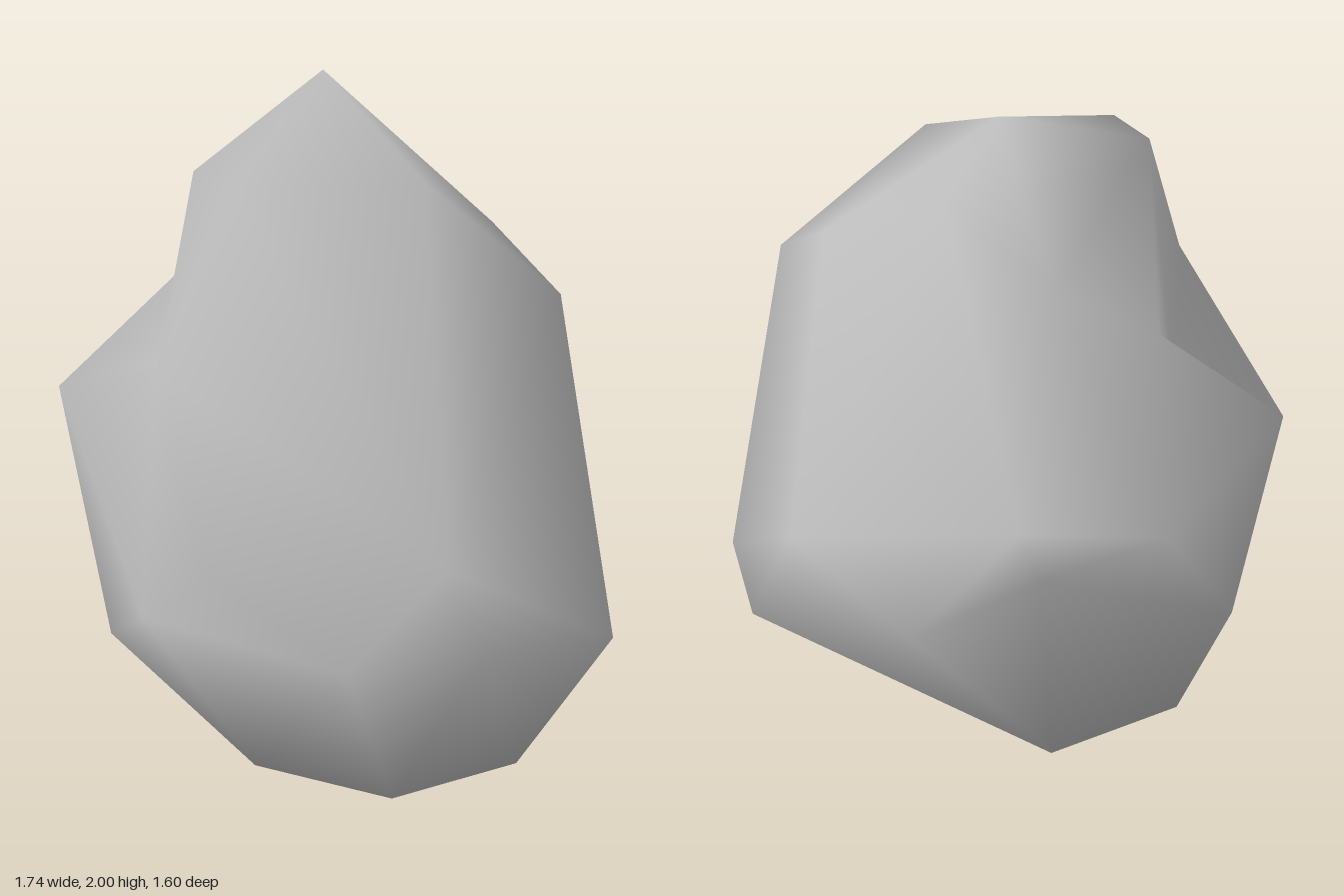
import * as THREE from 'three';
import { ConvexGeometry } from 'three/addons/geometries/ConvexGeometry.js';
import { mergeVertices } from 'three/addons/utils/BufferGeometryUtils.js';

// Corner points of the boulder, from the base upwards
const base = [
  [-0.73, 0, 0.25], [-0.67, 0.01, -0.2], [0.3, 0.03, -0.6], [0.73, 0.07, 0],
  [0.6, 0.07, 0.395], [0.2, 0.07, 0.565], [0, 0.03, 0],
];
const belly = [
  [-0.75, 0.36, 0.42], [-0.22, 0.42, 0.76], [0, 0.57, 0.8], [0.87, 0.45, -0.25],
  [0.2, 0.2, -0.79], [0.46, 0.28, -0.73], [-0.21, 0.88, -0.8], [-0.58, 0.7, -0.63],
  [0.745, 0.82, 0.335], [-0.87, 0.98, 0.02],
];
// Hollows: beside the front ridge, under the right shoulder, in the left flank
const hollows = [
  [0.07, 0.66, 0.615], [0.47, 0.44, 0.45], [0.67, 0.445, 0.1], [-0.63, 0.75, -0.23],
];
// Front-left shelf, the groove behind it and the slope above
const shelf = [
  [-0.69, 1.04, 0.58], [-0.06, 1.26, 0.67], [-0.46, 1.12, 0.345], [-0.52, 1.375, 0.225],
];
const crown = [
  [-0.68, 1.03, -0.34], [0.46, 1.37, -0.45], [0.2, 1.55, -0.43], [-0.47, 1.61, -0.1],
  [-0.18, 1.77, 0.42], [0, 1.76, 0.43], [0.28, 1.74, -0.04], [-0.25, 1.83, -0.3],
  [-0.2, 2, -0.1],
];

// Wraps a skin round the points: distances from the core are evened out for
// the hull, then restored, so that hollow corners stay in the skin
function wrapSkin(points, core, evenness) {
  const rounded = points.map((p) => {
    const v = new THREE.Vector3(...p).sub(core);
    return v.setLength(v.length() ** evenness);
  });
  const hull = new ConvexGeometry(rounded);
  hull.deleteAttribute('normal');
  const skin = mergeVertices(hull, 1e-4);
  const pos = skin.attributes.position;
  const v = new THREE.Vector3();
  for (let i = 0; i < pos.count; i++) {
    v.fromBufferAttribute(pos, i);
    v.setLength(v.length() ** (1 / evenness)).add(core);
    pos.setXYZ(i, v.x, v.y, v.z);
  }
  skin.computeVertexNormals();
  return skin;
}

export function createModel() {
  const group = new THREE.Group();
  group.name = 'rock';
  const stone = new THREE.MeshStandardMaterial({ color: 0xc0c0c0 });
  stone.name = 'stone grey';

  const corners = [...base, ...belly, ...hollows, ...shelf, ...crown];
  const boulder = new THREE.Mesh(wrapSkin(corners, new THREE.Vector3(0, 0.9, 0), 0.12), stone);
  boulder.name = 'boulder';
  group.add(boulder);
  return group;
}
